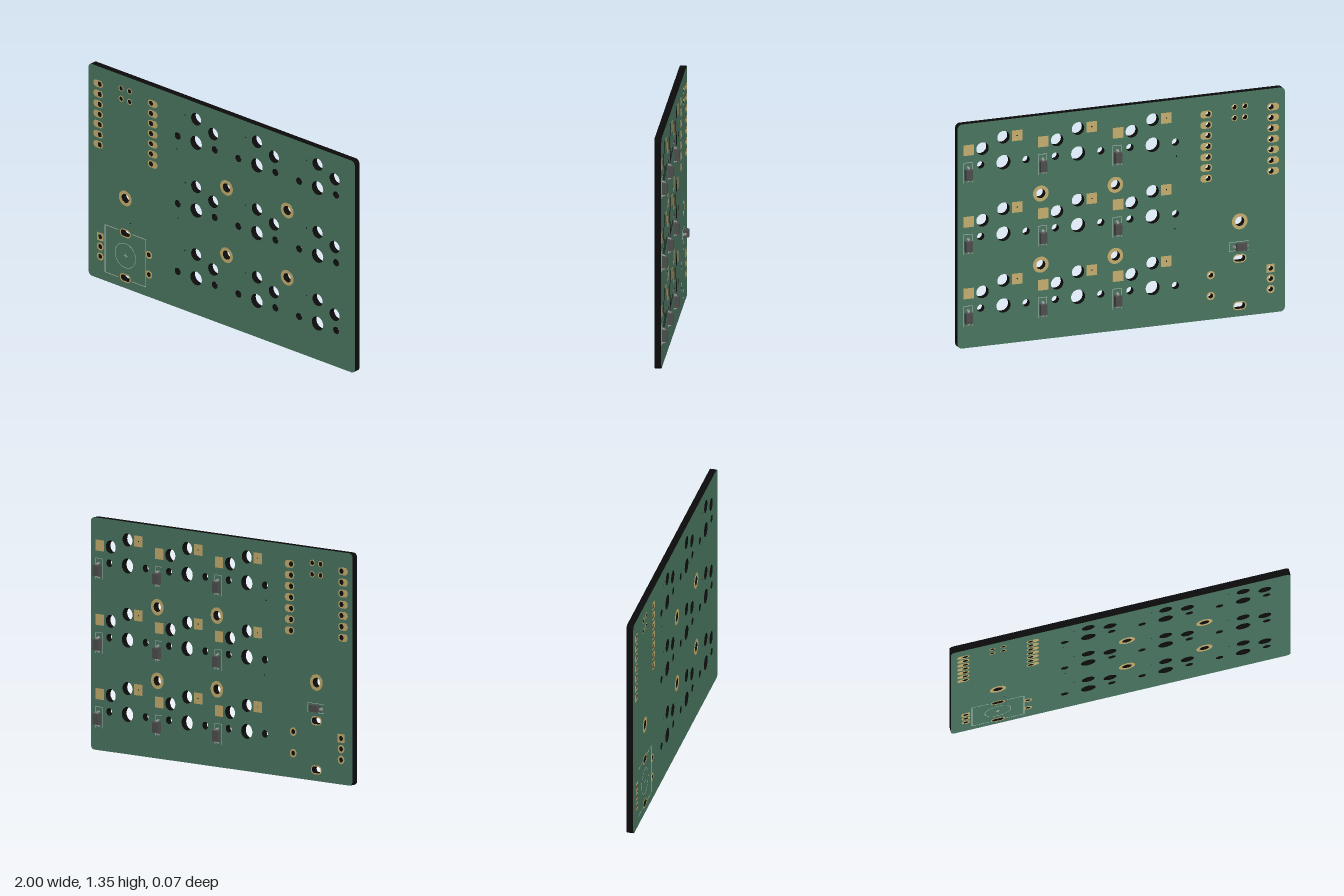
import * as THREE from 'three';
import { mergeGeometries } from 'three/addons/utils/BufferGeometryUtils.js';

const HEIGHT = 1.345, FRONT = 0.036, BACK = -0.004, FOIL = 0.001;
const mat = (color) => new THREE.MeshStandardMaterial({ color });

// Rounded outline; r = half the short side gives a slot or a circle
function outline(T, x, y, w, h, r) {
  const p = new T(), a = w / 2 - r, b = h / 2 - r;
  p.absarc(x + a, y + b, r, 0, Math.PI / 2);
  p.absarc(x - a, y + b, r, Math.PI / 2, Math.PI);
  p.absarc(x - a, y - b, r, Math.PI, Math.PI * 1.5);
  p.absarc(x + a, y - b, r, Math.PI * 1.5, Math.PI * 2);
  p.closePath();
  return p;
}
function circle(T, x, y, r) {
  const p = new T();
  p.absarc(x, y, r, 0, Math.PI * 2);
  return p;
}
function extrude(shape, z, depth, segments = 10) {
  const g = new THREE.ExtrudeGeometry(shape, { depth, bevelEnabled: false, curveSegments: segments });
  return g.translate(0, 0, z);
}

export function createModel() {
  const model = new THREE.Group();
  const mask = mat(0x4a7560), core = mat(0x0b0b0b), gold = mat(0xc4ad6e);
  const ink = mat(0xb4c2b8), plastic = mat(0x4c4c4c), metal = mat(0x9a9a9a);
  const add = (name, geometry, material, parent = model) => {
    const m = new THREE.Mesh(geometry, material);
    m.name = name;
    parent.add(m);
    return m;
  };

  const holes = [], padFoils = [];
  const drill = (x, y, r) => holes.push(circle(THREE.Path, x, y, r));
  // Copper pad, on both faces unless only the back is wanted
  const pad = (shape, hole, backOnly = false) => {
    if (hole) shape.holes.push(hole);
    padFoils.push(extrude(shape, BACK - FOIL, FOIL));
    if (!backOnly) padFoils.push(extrude(shape, FRONT, FOIL));
  };
  const ring = (x, y, outer, inner) => {
    drill(x, y, inner);
    pad(circle(THREE.Shape, x, y, outer), circle(THREE.Path, x, y, inner));
  };

  // Key switch footprints
  const columns = [-0.192, 0.264, 0.72], rows = [1.09, 0.66, 0.23];
  for (const x of columns) for (const y of rows) {
    drill(x, y, 0.043);
    drill(x, y + 0.15, 0.038);
    drill(x + 0.128, y + 0.096, 0.038);
    for (const s of [-1, 1]) drill(x + s * 0.139, y, 0.022);
    drill(x - 0.084, y + 0.151, 0.004);
    pad(outline(THREE.Shape, x - 0.084, y + 0.151, 0.064, 0.064, 0.001),
      circle(THREE.Path, x - 0.084, y + 0.151, 0.004), true);
    pad(outline(THREE.Shape, x + 0.212, y + 0.096, 0.064, 0.064, 0.001), null, true);
  }

  // Mounting holes and vias
  for (const [x, y] of [[0.036, 0.876], [0.492, 0.876], [0.036, 0.449], [0.492, 0.449], [-0.724, 0.57]])
    ring(x, y, 0.048, 0.028);
  for (const [x, y] of [[-0.338, 1.005], [-0.328, 0.571], [-0.686, 0.422]]) drill(x, y, 0.004);

  // Controller module pads
  for (let i = 0; i < 7; i++) {
    const y = 1.235 - i * 0.0642;
    for (const [x, shift] of [[-0.916, -0.012], [-0.531, 0.012]]) {
      drill(x, y, 0.0155);
      pad(outline(THREE.Shape, x + shift, y, 0.072, 0.044, 0.0219), circle(THREE.Path, x, y, 0.0155));
    }
  }
  for (const x of [-0.756, -0.692]) for (const y of [1.259, 1.193]) ring(x, y, 0.0185, 0.0135);

  // Rotary encoder footprint
  const ex = -0.724, ey = 0.206;
  drill(-0.913, 0.267, 0.0145);
  pad(outline(THREE.Shape, -0.913, 0.267, 0.05, 0.05, 0.001), circle(THREE.Path, -0.913, 0.267, 0.0145));
  for (const [x, y] of [[-0.913, 0.205], [-0.913, 0.142], [-0.547, 0.267], [-0.547, 0.142]])
    ring(x, y, 0.025, 0.0145);
  for (const s of [-1, 1]) {
    const y = ey + s * 0.142;
    holes.push(outline(THREE.Path, ex, y, 0.068, 0.038, 0.0189));
    pad(outline(THREE.Shape, ex, y, 0.082, 0.052, 0.0259), outline(THREE.Path, ex, y, 0.068, 0.038, 0.0189));
  }

  // Board: coloured faces, dark cut edges
  const board = outline(THREE.Shape, 0, HEIGHT / 2, 2, HEIGHT, 0.026);
  board.holes.push(...holes);
  add('circuitBoard', extrude(board, BACK, FRONT - BACK, 10), [mask, core]);
  add('copperPads', mergeGeometries(padFoils), gold);

  // Printed guide lines
  const lines = [];
  const line = (x, y, w, h, z = FRONT) =>
    lines.push(new THREE.BoxGeometry(w, h, FOIL).translate(x, y, z));
  const T = 0.004;
  for (const s of [-1, 1]) {
    line(ex + s * 0.153, ey, T, 0.3);
    for (const side of [-1, 1]) line(ex + side * 0.102, ey + s * 0.15, 0.104, T);
  }
  line(ex, ey, 0.03, T);
  line(ex, ey, T, 0.03);
  const dial = circle(THREE.Shape, ex, ey, 0.0785);
  dial.holes.push(circle(THREE.Path, ex, ey, 0.0755));
  lines.push(extrude(dial, FRONT, FOIL / 2, 24).toNonIndexed?.() ?? dial);

  // Diodes on the back: moulded body with two bent leads
  const V = (pts) => new THREE.Shape(pts.map(([x, y]) => new THREE.Vector2(x, y)));
  const bodyGeo = extrude(V([[-0.031, 0.003], [0.031, 0.003], [0.034, 0.016], [0.030, 0.033], [-0.030, 0.033], [-0.034, 0.016]]),
    -0.02, 0.04);
  const leadGeo = extrude(V([[0.03, 0.014], [0.036, 0.014], [0.039, 0.001], [0.047, 0.001],
    [0.047, 0.005], [0.043, 0.005], [0.040, 0.019], [0.03, 0.019]]), -0.007, 0.014);
  const diode = (x, y, upright) => {
    const g = new THREE.Group();
    g.name = 'diode';
    add('diodeBody', bodyGeo, plastic, g);
    add('diodeLead', leadGeo, metal, g);
    add('diodeLead', leadGeo, metal, g).rotation.y = Math.PI;
    g.rotation.set(-Math.PI / 2, 0, upright ? Math.PI / 2 : 0, 'ZXY');
    g.position.set(x, y, BACK);
    model.add(g);
    // Outline around the part, open at one end
    const box = (u, v, w, h) => upright ? line(x + v, y + u, h, w, BACK) : line(x + u, y + v, w, h, BACK);
    for (const s of [-1, 1]) box(0.008, s * 0.026, 0.122, 0.003);
    box(0.068, 0, 0.003, 0.052);
  };
  for (const x of columns) for (const y of rows) diode(x + 0.218, y - 0.047, true);
  diode(-0.728, 0.422, false);
  add('printedLines', mergeGeometries(lines.map((g) => (g.index ? g.toNonIndexed() : g))), ink);

  return model;
}
